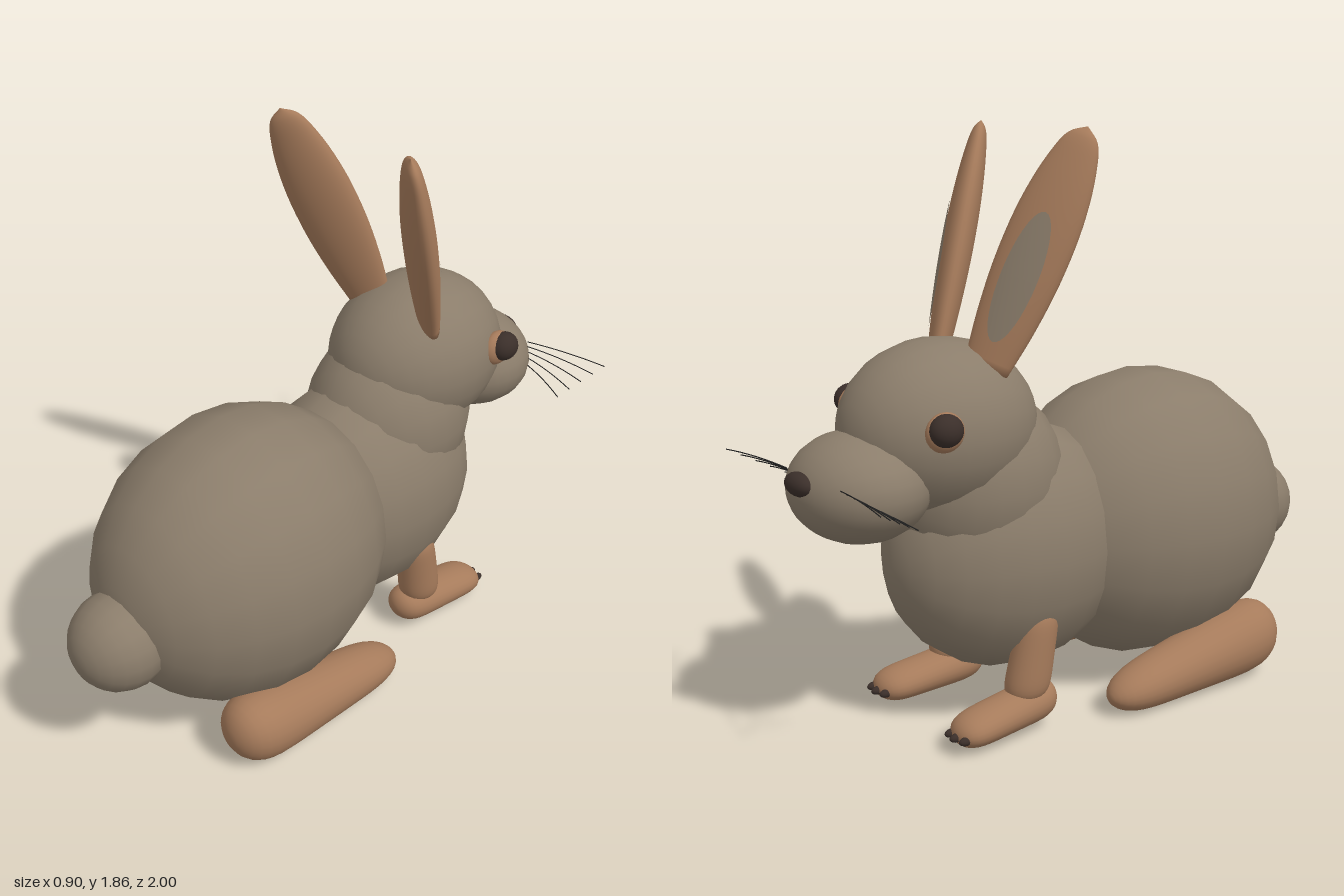
import * as THREE from 'three';
import { mergeVertices } from 'three/addons/utils/BufferGeometryUtils.js';

const mat = (name, color, side = THREE.FrontSide) => {
  const m = new THREE.MeshStandardMaterial({ color, side });
  m.name = name;
  return m;
};

export function createModel() {
  const fur = mat('grey brown fur', 0x8b7d6b);
  const tan = mat('tan skin', 0xa67b5b);
  const dark = mat('dark brown', 0x3b2f2a);
  const black = mat('whisker black', 0x222222);
  const model = new THREE.Group();
  model.name = 'rabbit';

  const add = (name, geo, material, parent = model) => {
    const mesh = new THREE.Mesh(geo, material);
    mesh.name = name;
    parent.add(mesh);
    return mesh;
  };

  // Ellipsoid with its poles along z
  const blob = (name, material, pos, radii, segs = 18) => {
    const geo = new THREE.SphereGeometry(1, segs, Math.round(segs * 0.67));
    geo.rotateX(Math.PI / 2).scale(...radii);
    const mesh = add(name, geo, material);
    mesh.position.set(...pos);
    return mesh;
  };

  // Blunt tapered limb between two ends: p = centre, r = [rx, ry], skewed along one axis
  const limb = (name, a, b, axis = 'z') => {
    let geo = new THREE.SphereGeometry(1, 24, 24).rotateX(Math.PI / 2);
    geo.deleteAttribute('uv');
    geo.deleteAttribute('normal');
    geo = mergeVertices(geo);
    const p = geo.attributes.position;
    const mix = THREE.MathUtils.lerp;
    for (let i = 0; i < p.count; i++) {
      const w = p.getZ(i), t = (w + 1) / 2;
      const fat = Math.sqrt(1 + w * w + w ** 4);
      const u = p.getX(i) * fat * mix(a.r[0], b.r[0], t);
      const v = p.getY(i) * fat * mix(a.r[1], b.r[1], t);
      const c = [0, 1, 2].map(k => mix(a.p[k], b.p[k], t));
      if (axis === 'z') p.setXYZ(i, c[0] + u, c[1] + v, c[2]);
      else p.setXYZ(i, c[0] + u, c[1], c[2] - v);
    }
    geo.computeVertexNormals();
    return add(name, geo, tan);
  };

  // Torso, head and tail
  blob('hindBody', fur, [0, 0.555, 0.33], [0.42, 0.49, 0.525]);
  blob('chest', fur, [0, 0.55, -0.23], [0.315, 0.4, 0.435]);
  blob('neck', fur, [0, 0.78, -0.36], [0.27, 0.31, 0.295]);
  blob('head', fur, [0, 0.97, -0.49], [0.272, 0.272, 0.32], 24);
  blob('muzzle', fur, [0, 0.83, -0.77], [0.232, 0.168, 0.21], 24);
  blob('tail', fur, [0, 0.49, 0.84], [0.16, 0.16, 0.16]);
  blob('nose', dark, [0, 0.868, -0.965], [0.065, 0.036, 0.035], 20);

  // Ear profile: blunt base, widest past the middle, rounded tip
  const earLength = 0.77, earFlat = 0.45;
  const profile = new THREE.CatmullRomCurve3([
    [0.072, 0], [0.095, 0.15], [0.109, 0.32], [0.105, 0.5], [0.08, 0.65], [0.048, 0.735], [0, earLength],
  ].map(([r, y]) => new THREE.Vector3(r, y, 0))).getPoints(30);
  profile[30].x = 0;
  const earRadius = y => {
    const i = Math.max(1, profile.findIndex(q => q.y >= y));
    const a = profile[i - 1], b = profile[i];
    return THREE.MathUtils.mapLinear(y, a.y, b.y, a.x, b.x);
  };
  const earGeo = new THREE.LatheGeometry(
    [new THREE.Vector2(0, 0), ...profile.map(q => new THREE.Vector2(Math.max(0, q.x), q.y))], 28);
  earGeo.scale(1, 1, earFlat);

  // Inner ear: oval draped just above the front surface
  const patchGeo = new THREE.RingGeometry(0, 1, 36, 8);
  const pp = patchGeo.attributes.position;
  for (let i = 0; i < pp.count; i++) {
    const x = pp.getX(i) * 0.058, y = 0.29 + pp.getY(i) * 0.205;
    const r = earRadius(y);
    pp.setXYZ(i, x, y, earFlat * Math.sqrt(Math.max(0, r * r - x * x)) + 0.004);
  }
  patchGeo.computeVertexNormals();

  for (const s of [1, -1]) {
    const side = s > 0 ? 'left' : 'right';

    // Ear leans back and outward, its face turned slightly outward
    const ear = new THREE.Group();
    ear.name = side + 'Ear';
    const up = new THREE.Vector3(s * 0.135, 0.69, 0.27).normalize();
    const face = new THREE.Vector3(s * 0.5, 0, -0.85);
    face.addScaledVector(up, -face.dot(up)).normalize();
    const across = new THREE.Vector3().crossVectors(up, face);
    ear.quaternion.setFromRotationMatrix(new THREE.Matrix4().makeBasis(across, up, face));
    ear.position.set(s * 0.13, 1.155, -0.4);
    add('outerEar', earGeo, tan, ear);
    add('innerEar', patchGeo, fur, ear);
    model.add(ear);

    // Eye in its socket
    blob(side + 'EyeSocket', tan, [s * 0.243, 1.015, -0.625], [0.04, 0.06, 0.063], 20);
    blob(side + 'Eye', dark, [s * 0.265, 1.026, -0.635], [0.046, 0.049, 0.052], 20);

    // Long hind foot
    limb(side + 'HindLeg',
      { p: [s * 0.315, 0.068, -0.06], r: [0.085, 0.066] },
      { p: [s * 0.293, 0.146, 0.66], r: [0.128, 0.138] });

    // Foreleg and paw
    limb(side + 'Foreleg',
      { p: [s * 0.21, 0.1, -0.325], r: [0.07, 0.08] },
      { p: [s * 0.225, 0.415, -0.27], r: [0.06, 0.065] }, 'y').geometry.computeVertexNormals();
    limb(side + 'Paw',
      { p: [s * 0.225, 0.062, -0.595], r: [0.082, 0.052] },
      { p: [s * 0.2, 0.1, -0.21], r: [0.075, 0.07] });

    // Claws
    for (const k of [-1, 0, 1]) {
      blob(side + 'Claw', dark,
        [s * 0.225 + k * 0.038, 0.058, -0.592 + Math.abs(k) * 0.008], [0.014, 0.014, 0.024], 12);
    }

    // Whiskers fan out from the cheek
    for (let i = 0; i < 5; i++) {
      const t = i / 4;
      const root = new THREE.Vector3(s * 0.155, 0.875 - 0.04 * t, -0.92 + 0.055 * t);
      const tip = new THREE.Vector3(s * (0.452 - 0.07 * t), 0.88 - 0.085 * t, -0.97 + 0.16 * t);
      const mid = root.clone().lerp(tip, 0.5);
      mid.y += 0.012;
      mid.z -= 0.012 * t;
      const curve = new THREE.QuadraticBezierCurve3(root, mid, tip);
      add(side + 'Whisker', new THREE.TubeGeometry(curve, 8, 0.0018, 5), black);
    }
  }
  return model;
}
